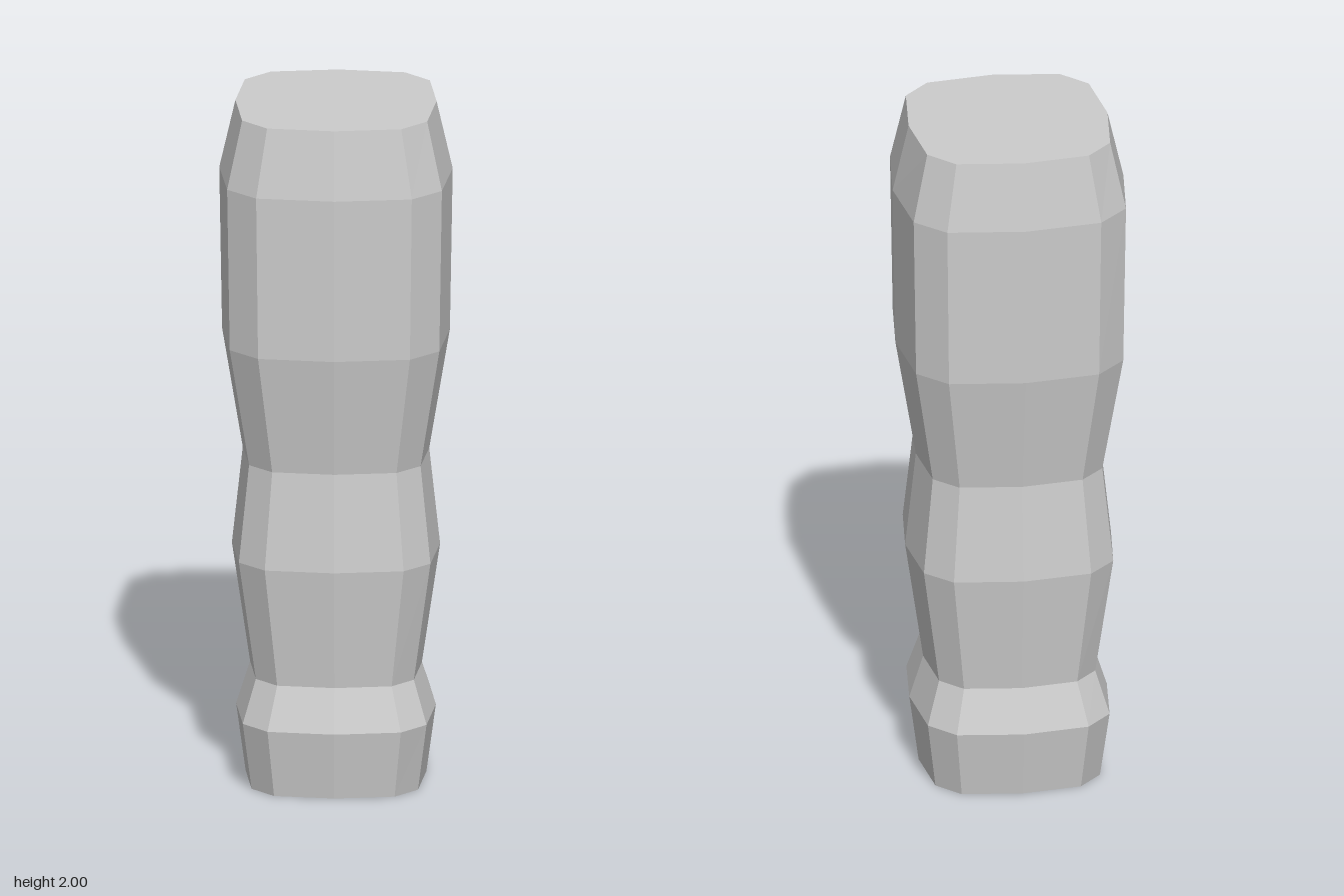
import * as THREE from 'three';

// Unit cross-section: a bulging square with cut corners, one quarter (z, x) turned four times
function crossSection() {
  const pts = [];
  for (let q = 0; q < 4; q++) {
    const c = [1, 0, -1, 0][q], s = [0, 1, 0, -1][q];
    for (const [z, x] of [[1, 0], [0.92, 0.667], [0.667, 0.92]]) {
      pts.push([x * c + z * s, z * c - x * s]);
    }
  }
  return pts;
}

// Faceted skin through rings of [height, half width, half depth], closed at both ends
function loft(rings) {
  const section = crossSection();
  const n = section.length;
  const pos = [], idx = [];
  for (const [y, w, d] of rings) {
    for (const [x, z] of section) pos.push(x * w, y, z * d);
  }
  const last = rings.length - 1;
  const bottom = pos.length / 3, top = bottom + 1;
  pos.push(0, rings[0][0], 0, 0, rings[last][0], 0);
  for (let i = 0; i < n; i++) {
    const k = (i + 1) % n;
    for (let j = 0; j < last; j++) {
      const a = j * n + i, b = j * n + k;
      idx.push(a, b, b + n, a, b + n, a + n);
    }
    idx.push(bottom, k, i, top, last * n + i, last * n + k);
  }
  const geo = new THREE.BufferGeometry();
  geo.setAttribute('position', new THREE.Float32BufferAttribute(pos, 3));
  geo.setIndex(idx);
  const flat = geo.toNonIndexed();
  flat.computeVertexNormals();
  return flat;
}

export function createModel() {
  const group = new THREE.Group();
  const material = new THREE.MeshStandardMaterial({ color: 0xcccccc, flatShading: true });

  // Grip: flared foot, two waists and a wide head with a bevelled rim
  const grip = new THREE.Mesh(loft([
    [0, 0.258, 0.272],
    [0.2, 0.285, 0.303],
    [0.325, 0.245, 0.257],
    [0.68, 0.297, 0.298],
    [0.965, 0.266, 0.268],
    [1.32, 0.325, 0.328],
    [1.8, 0.333, 0.333],
    [2, 0.287, 0.3],
  ]), material);
  grip.name = 'grip';
  group.add(grip);
  return group;
}
